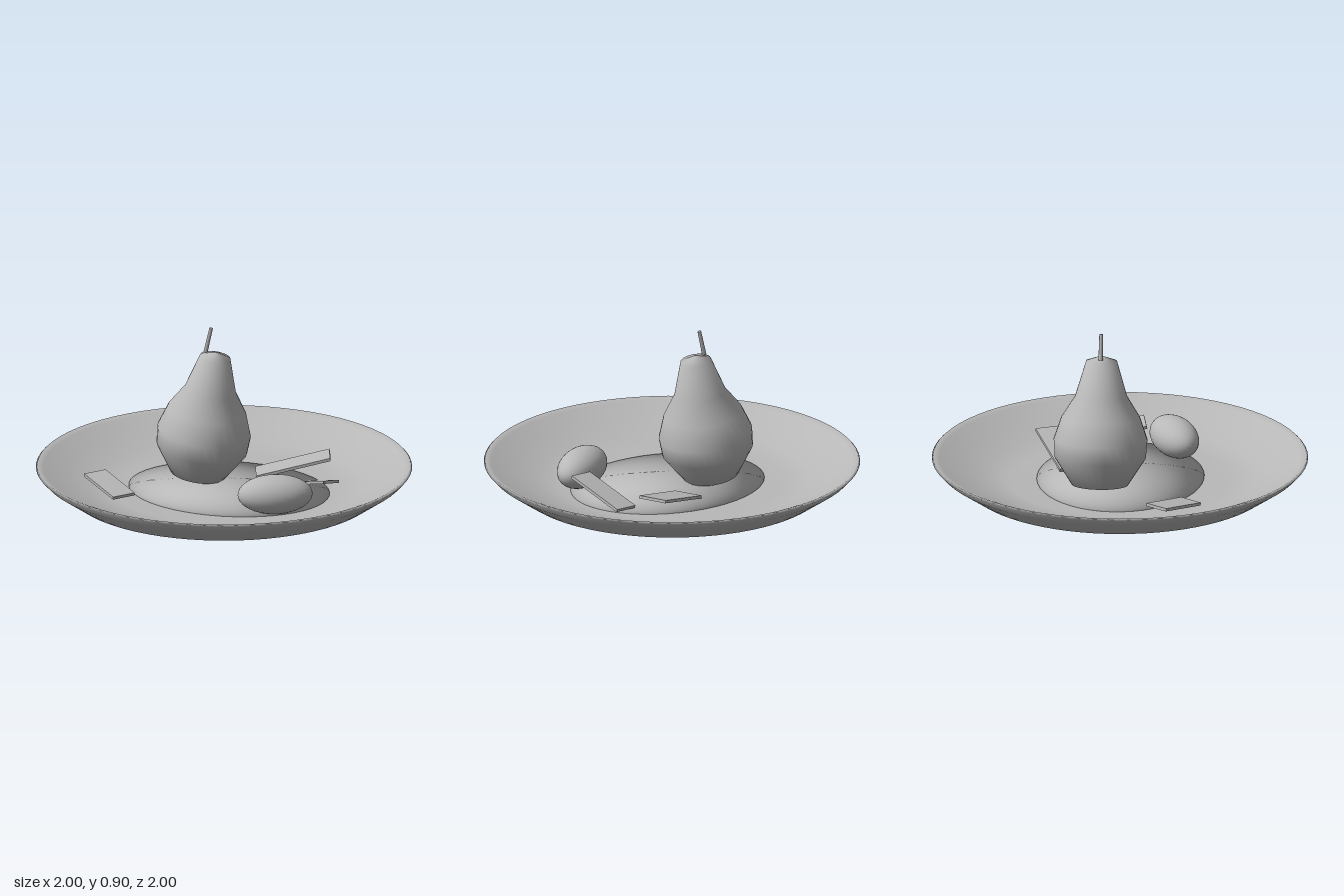
import * as THREE from 'three';

const grey = new THREE.MeshStandardMaterial({ color: 0xb8b8b8 });
grey.name = 'plain grey';

function add(parent, name, geometry, x = 0, y = 0, z = 0) {
  const mesh = new THREE.Mesh(geometry, grey);
  mesh.name = name;
  mesh.position.set(x, y, z);
  parent.add(mesh);
  return mesh;
}

function lathe(points, segments) {
  return new THREE.LatheGeometry(points.map(([r, y]) => new THREE.Vector2(r, y)), segments);
}

export function createModel() {
  const model = new THREE.Group();
  model.name = 'pearOnPlate';

  // Shallow plate: underside, rim, then inner slope back to the centre
  add(model, 'plate', lathe([
    [0, 0], [0.66, 0], [0.82, 0.03], [0.965, 0.13], [1, 0.168], [0.99, 0.178],
    [0.96, 0.165], [0.85, 0.115], [0.72, 0.07], [0.58, 0.043], [0, 0.04],
  ], 72));

  // Thin oval puddle, a squashed half sphere that keeps its round shading
  const puddle = new THREE.SphereGeometry(1, 48, 12, 0, Math.PI * 2, 0, Math.PI / 2);
  puddle.attributes.position.applyMatrix4(new THREE.Matrix4().makeScale(0.55, 0.012, 0.445));
  add(model, 'saucePuddle', puddle, 0.03, 0.046, 0);

  // Leaning pear with stem
  const pear = new THREE.Group();
  pear.name = 'pear';
  pear.position.set(-0.192, 0.07, -0.09);
  pear.rotation.z = -0.15;
  add(pear, 'pearBody', lathe([
    [0, 0], [0.15, 0.01], [0.243, 0.157], [0.25, 0.255], [0.21, 0.374],
    [0.138, 0.49], [0.082, 0.68], [0, 0.708],
  ], 32));
  model.add(pear);
  const stem = add(model, 'stem', new THREE.CylinderGeometry(0.01, 0.012, 0.14, 8), -0.13, 0.833, -0.09);
  stem.rotation.z = -0.23;

  // Egg-shaped scoop
  const scoop = add(model, 'scoop', new THREE.SphereGeometry(1, 32, 20), 0.407, 0.147, 0.253);
  scoop.scale.set(0.2, 0.105, 0.115);
  scoop.rotation.y = 0.5;

  // Flat shards: position, length, width, yaw, lengthwise tilt, sideways tilt
  [
    [-0.52, 0.1, 0.333, 0.295, 0.135, -0.6, -0.16, 0],
    [0.255, 0.115, -0.333, 0.405, 0.16, 0.43, 0.24, 0],
    [0.512, 0.125, -0.08, 0.355, 0.142, -1.41, 0.3, 0.1],
  ].forEach(([x, y, z, length, width, yaw, tilt, roll], i) => {
    const shard = add(model, 'shard' + (i + 1), new THREE.BoxGeometry(length, 0.016, width), x, y, z);
    shard.rotation.set(roll, yaw, tilt, 'YZX');
  });

  return model;
}
